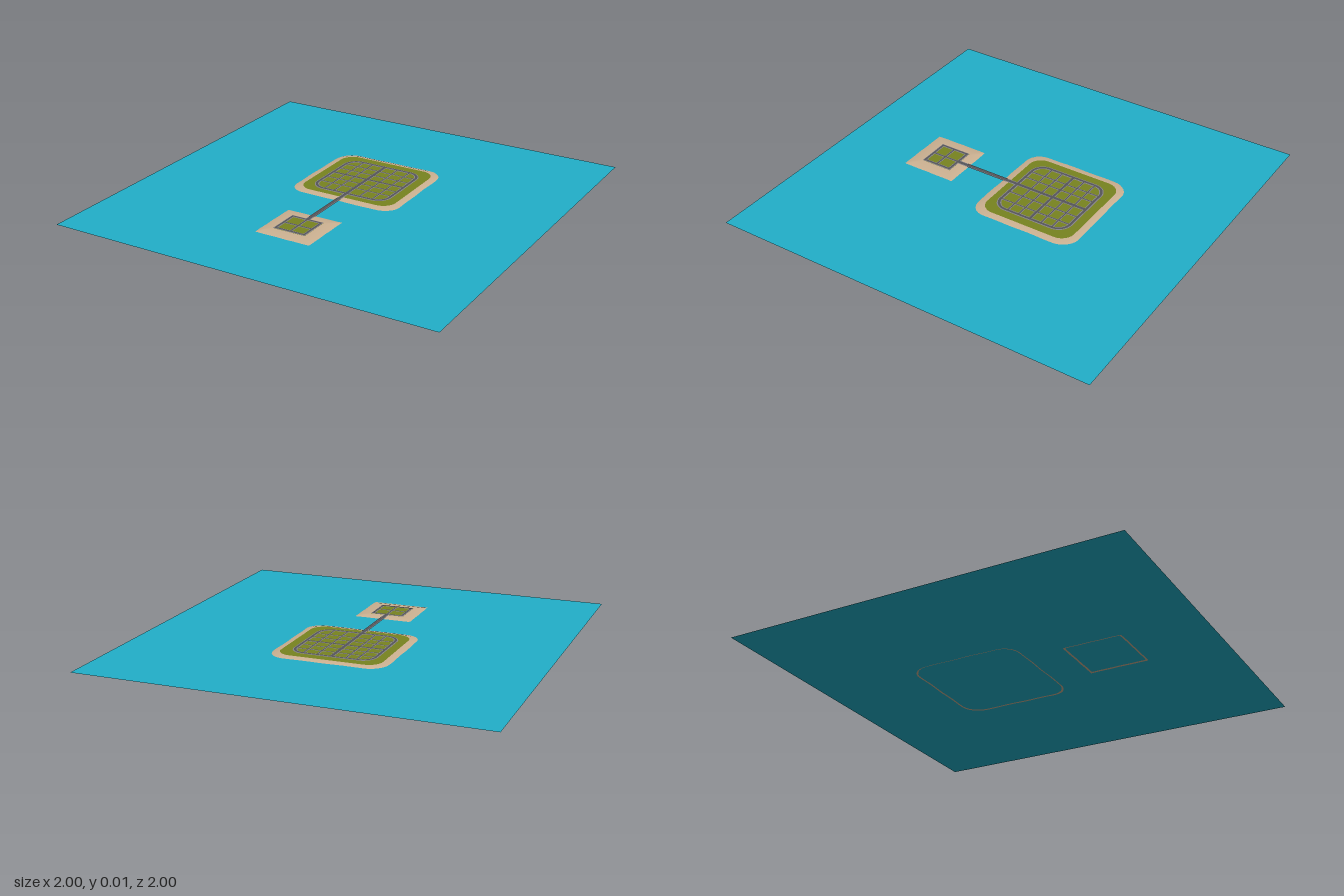
import * as THREE from 'three';

const mat = (name, color, side = THREE.FrontSide) => {
  const m = new THREE.MeshStandardMaterial({ color, side });
  m.name = name;
  return m;
};

// Rounded rectangle outline; bounds in x and z, drawn in the (x, -z) plane
function outline(Type, [x0, x1, z0, z1], r) {
  const s = new Type(), a = -z1, b = -z0;
  s.moveTo(x0 + r, a);
  s.lineTo(x1 - r, a);
  if (r) s.absarc(x1 - r, a + r, r, -Math.PI / 2, 0);
  s.lineTo(x1, b - r);
  if (r) s.absarc(x1 - r, b - r, r, 0, Math.PI / 2);
  s.lineTo(x0 + r, b);
  if (r) s.absarc(x0 + r, b - r, r, Math.PI / 2, Math.PI);
  s.lineTo(x0, a + r);
  if (r) s.absarc(x0 + r, a + r, r, Math.PI, Math.PI * 1.5);
  s.closePath();
  return s;
}

const inset = ([x0, x1, z0, z1], d) => [x0 + d, x1 - d, z0 + d, z1 - d];

export function createModel() {
  const model = new THREE.Group();
  model.name = 'islandTown';
  const water = mat('water', 0x22b0c9, THREE.DoubleSide);
  const sand = mat('sand', 0xcdb292, THREE.DoubleSide);
  const grass = mat('grass', 0x78841f);
  const kerb = mat('kerb', 0x88858c);
  const asphalt = mat('asphalt', 0x56565a);

  const add = (name, geometry, material, parent) => {
    const m = new THREE.Mesh(geometry, material);
    m.name = name;
    parent.add(m);
  };
  const flat = (name, shape, y, material, parent) =>
    add(name, new THREE.ShapeGeometry(shape, 8).rotateX(-Math.PI / 2).translate(0, y, 0), material, parent);

  // Beach sloping from below the water up to the lawn; loops are [bounds, radius, y, wobble]
  function beach(loops, parent) {
    const n = 96, pos = [], idx = [];
    loops.forEach(([b, r, y, wobble], k) => {
      const cx = (b[0] + b[1]) / 2, cz = (b[2] + b[3]) / 2;
      const pts = outline(THREE.Shape, b, r).getSpacedPoints(n);
      for (let i = 0; i < n; i++) {
        const t = (i / n) * Math.PI * 2;
        const f = 1 - wobble * (0.5 + 0.5 * Math.sin(t * 7 + 1) * Math.cos(t * 4));
        pos.push(cx + (pts[i].x - cx) * f, y, cz + (-pts[i].y - cz) * f);
        if (k) {
          const o = (k - 1) * n, p = k * n, j = (i + 1) % n;
          idx.push(o + i, o + j, p + i, o + j, p + j, p + i);
        }
      }
    });
    const g = new THREE.BufferGeometry();
    g.setAttribute('position', new THREE.Float32BufferAttribute(pos, 3));
    g.setIndex(idx);
    g.computeVertexNormals();
    add('beach', g, sand, parent);
  }

  // Straight road: wide kerb strip with a narrower asphalt strip above it
  function road(name, bounds, alongX, edge, parent) {
    const [x0, x1, z0, z1] = bounds;
    const core = alongX ? [x0, x1, z0 + edge, z1 - edge] : [x0 + edge, x1 - edge, z0, z1];
    flat(name + 'Kerb', outline(THREE.Shape, bounds, 0), 0.0095, kerb, parent);
    flat(name, outline(THREE.Shape, core, 0), 0.0105, asphalt, parent);
  }

  // Ring road around a lawn
  function ringRoad(bounds, r, width, edge, parent) {
    const ring = (d, w) => {
      const s = outline(THREE.Shape, inset(bounds, d), Math.max(r - d, 0));
      s.holes.push(outline(THREE.Path, inset(bounds, d + w), Math.max(r - d - w, 0)));
      return s;
    };
    flat('ringRoadKerb', ring(0, width), 0.0095, kerb, parent);
    flat('ringRoad', ring(edge, width - 2 * edge), 0.0105, asphalt, parent);
  }

  function streets(bounds, xs, zs, edge, parent) {
    const [x0, x1, z0, z1] = bounds;
    for (const [x, w] of xs) road('street', [x - w / 2, x + w / 2, z0, z1], false, edge, parent);
    for (const [z, w] of zs) road('crossStreet', [x0, x1, z - w / 2, z + w / 2], true, edge, parent);
  }

  // Sea
  add('sea', new THREE.PlaneGeometry(2, 2).rotateX(-Math.PI / 2).translate(0, 0.002, 0), water, model);

  // Main island
  const main = new THREE.Group();
  main.name = 'mainIsland';
  model.add(main);
  const mainLawn = [-0.265, 0.25, -0.43, 0.06];
  beach([
    [[-0.31, 0.295, -0.472, 0.108], 0.09, 0, 0.02],
    [[-0.285, 0.27, -0.45, 0.08], 0.08, 0.0065, 0.008],
    [inset(mainLawn, 0.01), 0.06, 0.008, 0],
  ], main);
  flat('lawn', outline(THREE.Shape, mainLawn, 0.07), 0.0085, grass, main);
  ringRoad([-0.222, 0.205, -0.387, 0.025], 0.075, 0.022, 0.005, main);
  streets([-0.21, 0.193, -0.375, 0.013],
    [[-0.14, 0.012], [-0.085, 0.012], [-0.013, 0.022], [0.06, 0.012], [0.13, 0.012]],
    [[-0.312, 0.012], [-0.252, 0.012], [-0.19, 0.018], [-0.126, 0.012], [-0.065, 0.012]],
    0.003, main);

  // Small island
  const small = new THREE.Group();
  small.name = 'smallIsland';
  model.add(small);
  const smallLawn = [-0.102, 0.072, 0.363, 0.53];
  beach([
    [[-0.17, 0.147, 0.297, 0.605], 0, 0, 0.02],
    [[-0.135, 0.11, 0.33, 0.565], 0, 0.0075, 0],
    [inset(smallLawn, 0.01), 0, 0.008, 0],
  ], small);
  flat('lawn', outline(THREE.Shape, smallLawn, 0), 0.0085, grass, small);
  ringRoad(smallLawn, 0, 0.018, 0.004, small);
  streets([-0.09, 0.06, 0.375, 0.518], [[-0.013, 0.014]], [[0.45, 0.014]], 0.003, small);

  // Causeway joining the islands
  road('causeway', [-0.026, 0, 0.013, 0.375], false, 0.005, model);

  return model;
}
